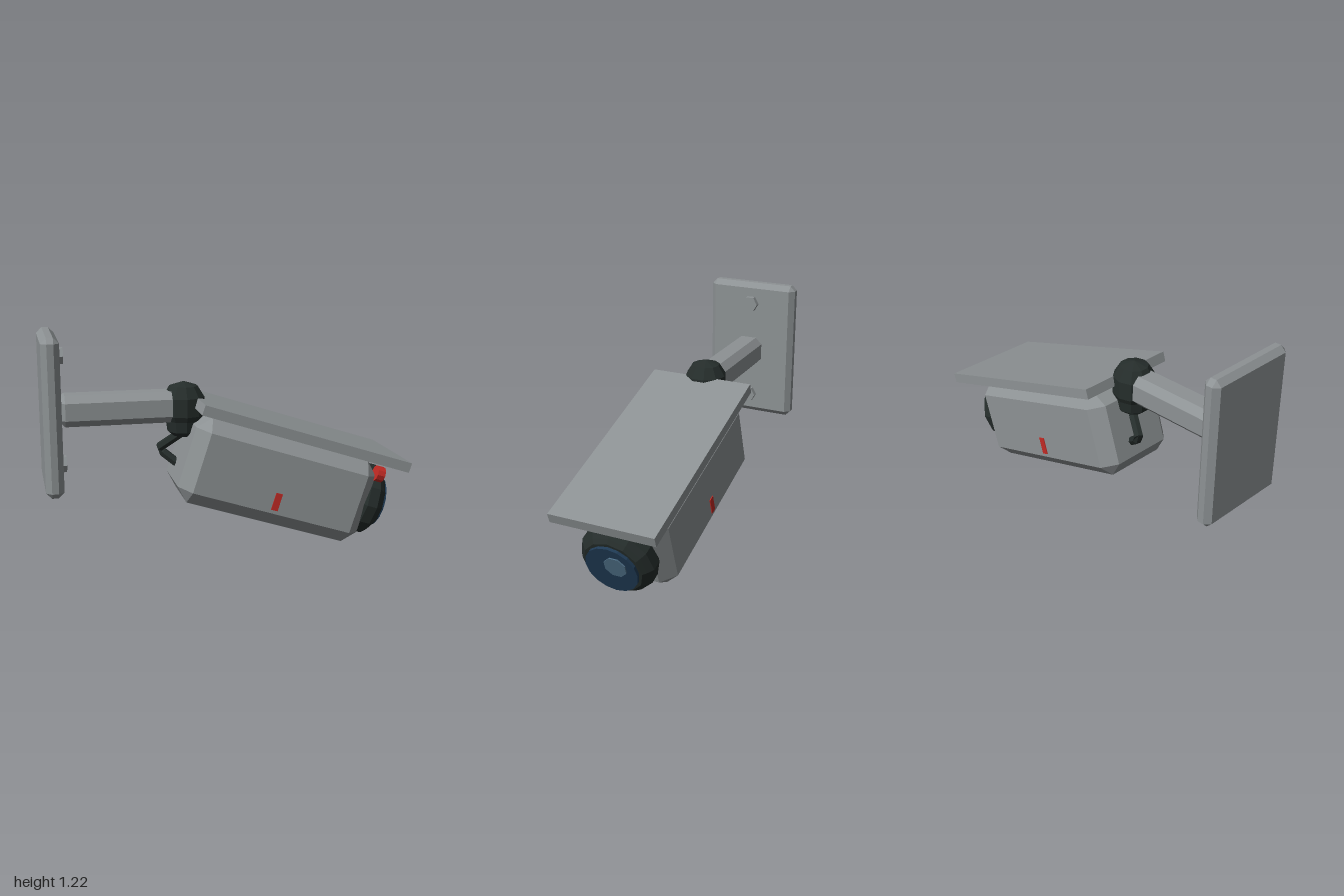
import * as THREE from 'three';
import { ConvexGeometry } from 'three/addons/geometries/ConvexGeometry.js';

const material = (name, color) => {
  const m = new THREE.MeshStandardMaterial({ color, flatShading: true });
  m.name = name;
  return m;
};

// Box with every edge cut by a flat chamfer c
function chamferBox(w, h, d, c) {
  const points = [];
  for (const sx of [-1, 1]) for (const sy of [-1, 1]) for (const sz of [-1, 1]) {
    for (const [cx, cy, cz] of [[0, c, c], [c, 0, c], [c, c, 0]]) {
      points.push(new THREE.Vector3(sx * (w / 2 - cx), sy * (h / 2 - cy), sz * (d / 2 - cz)));
    }
  }
  return new ConvexGeometry(points);
}

const profile = (list) => list.map(([r, y]) => new THREE.Vector2(r, y));

// Cylinder lying along x
const discX = (radius, length, sides, turn = 0) =>
  new THREE.CylinderGeometry(radius, radius, length, sides).rotateY(turn).rotateZ(-Math.PI / 2);

export function createModel() {
  const grey = material('grey metal', 0x8d9294);
  const dark = material('dark rubber', 0x252d2b);
  const red = material('red', 0xc22a24);
  const blue = material('lens blue', 0x1f3a54);
  const pale = material('lens glint', 0x4d6d84);

  const model = new THREE.Group();
  model.name = 'securityCamera';
  const add = (parent, name, geometry, mat, x = 0, y = 0, z = 0) => {
    const mesh = new THREE.Mesh(geometry, mat);
    mesh.name = name;
    mesh.position.set(x, y, z);
    parent.add(mesh);
    return mesh;
  };

  // Wall mount: plate, hex bolts and arm
  add(model, 'wallPlate', chamferBox(0.095, 0.835, 0.54, 0.03), grey, -0.9525, 0.802, 0);
  for (const y of [0.507, 1.095]) {
    add(model, 'bolt', discX(0.048, 0.04, 6), grey, -0.895, y, 0);
  }
  add(model, 'arm', chamferBox(0.68, 0.17, 0.17, 0.038), grey, -0.575, 0.802, 0);

  // Swivel joint
  add(model, 'joint', new THREE.LatheGeometry(profile([
    [0, 0.63], [0.06, 0.635], [0.092, 0.66], [0.1, 0.72], [0.115, 0.75],
    [0.115, 0.85], [0.078, 0.91], [0, 0.935],
  ]), 10), dark, -0.23, 0, 0);

  // Bent cable from the joint into the back of the housing
  const cable = new THREE.CurvePath();
  const bends = [[-0.22, 0.66, -0.01], [-0.362, 0.545, -0.09], [-0.23, 0.44, -0.03]]
    .map((p) => new THREE.Vector3(...p));
  cable.add(new THREE.LineCurve3(bends[0], bends[1]));
  cable.add(new THREE.LineCurve3(bends[1], bends[2]));
  add(model, 'cable', new THREE.TubeGeometry(cable, 8, 0.026, 6), dark);

  // Camera head, tilted downwards
  const head = new THREE.Group();
  head.name = 'cameraHead';
  head.rotation.z = -Math.PI / 10;
  model.add(head);

  add(head, 'housing', chamferBox(1.08, 0.485, 0.5, 0.073), grey, 0.135, 0.448, 0);
  add(head, 'sunVisor', new THREE.BoxGeometry(1.228, 0.056, 0.59), grey, 0.19, 0.731, 0);

  // Lens: stepped ring, glass and glint
  add(head, 'lensRing', new THREE.LatheGeometry(profile([
    [0, 0.65], [0.19, 0.65], [0.208, 0.675], [0.208, 0.735],
    [0.185, 0.765], [0.165, 0.785], [0, 0.785],
  ]), 12).rotateZ(-Math.PI / 2), dark, 0, 0.448, 0);
  add(head, 'lensGlass', discX(0.148, 0.02, 16), blue, 0.792, 0.448, 0);
  add(head, 'lensGlint', discX(0.064, 0.008, 8, Math.PI / 8), pale, 0.805, 0.481, -0.03);

  // Red indicator lamp and side markers
  add(head, 'indicatorLamp', discX(0.045, 0.045, 10), red, 0.69, 0.635, 0.175);
  for (const side of [-1, 1]) {
    add(head, 'sideMarker', new THREE.BoxGeometry(0.038, 0.098, 0.009), red, 0.135, 0.348, side * 0.2505);
  }
  return model;
}
